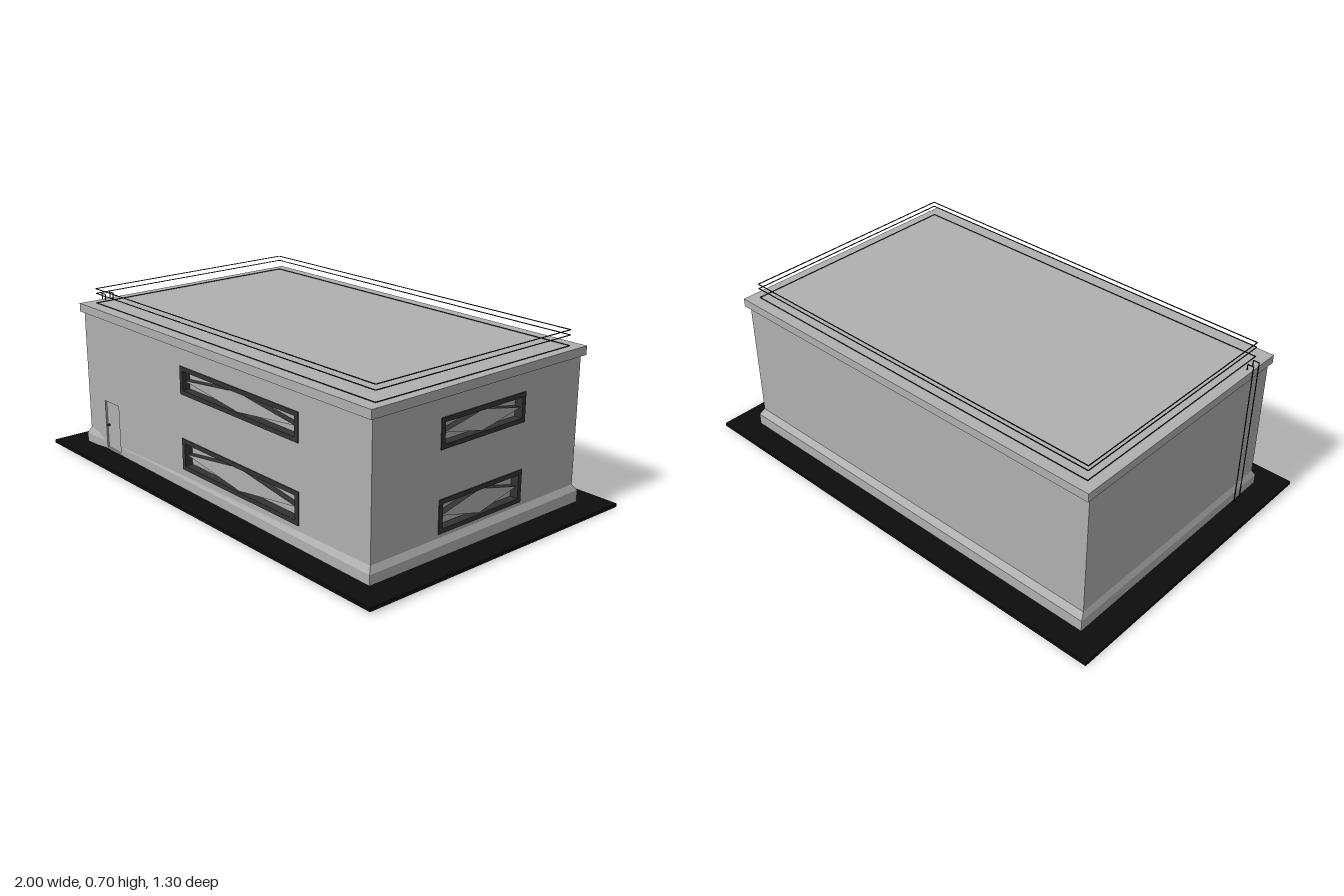
import * as THREE from 'three';

const mat = (name, color) => Object.assign(new THREE.MeshStandardMaterial({ color }), { name });

export function createModel() {
  const model = new THREE.Group();
  const concrete = mat('concrete grey', 0xb0b0b0);
  const dark = mat('dark frame', 0x333333);
  const black = mat('black', 0x0d0d0d);

  const add = (parent, name, geo, material) => {
    const m = new THREE.Mesh(geo, material);
    m.name = name;
    parent.add(m);
    return m;
  };
  // Box given by its two extreme corners
  const box = (parent, name, [x0, y0, z0], [x1, y1, z1], material) =>
    add(parent, name, new THREE.BoxGeometry(x1 - x0, y1 - y0, z1 - z0)
      .translate((x0 + x1) / 2, (y0 + y1) / 2, (z0 + z1) / 2), material);
  const poly = (pts, Type = THREE.Shape) => new Type(pts.map(p => new THREE.Vector2(...p)));
  const rect = (x0, y0, x1, y1, Type) => poly([[x0, y0], [x1, y0], [x1, y1], [x0, y1]], Type);
  const slab = (shape, z0, z1) =>
    new THREE.ExtrudeGeometry(shape, { depth: z1 - z0, bevelEnabled: false }).translate(0, 0, z0);

  // Window: frame ring, recessed pane and raised diamond; wall surface is z = 0
  function addWindow(parent, [x0, y0, x1, y1]) {
    const g = new THREE.Group();
    g.name = 'window';
    const t = 0.018, cx = (x0 + x1) / 2, cy = (y0 + y1) / 2;
    const ring = rect(x0, y0, x1, y1);
    ring.holes.push(rect(x0 + t, y0 + t, x1 - t, y1 - t, THREE.Path));
    add(g, 'windowFrame', slab(ring, -0.04, 0.004), dark);
    box(g, 'windowPane', [x0 + t, y0 + t, -0.038], [x1 - t, y1 - t, -0.03], concrete);
    const diamond = poly([[x0 + t, cy], [cx, y0 + t], [x1 - t, cy], [cx, y1 - t]]);
    add(g, 'diamondPanel', slab(diamond, -0.03, -0.004), [concrete, dark]);
    parent.add(g);
  }

  // Wall with openings, outer surface at local z = 0
  function addWall(name, x0, x1, windows, doors = []) {
    const g = new THREE.Group();
    g.name = name;
    const shape = rect(x0, 0.02, x1, 0.605);
    [...windows, ...doors].forEach(o => shape.holes.push(rect(...o, THREE.Path)));
    add(g, name + 'Surface', slab(shape, -0.05, 0), concrete);
    windows.forEach(w => addWindow(g, w));
    model.add(g);
    return g;
  }

  // Sloping ground slab
  const ground = add(model, 'ground', new THREE.BoxGeometry(2, 0.014, 1.295), black);
  ground.position.y = 0.0125;
  ground.rotation.x = -0.008;

  // Walls
  const front = addWall('frontWall', -0.885, 0.875,
    [[-0.19, 0.414, 0.51, 0.527], [-0.19, 0.104, 0.51, 0.233]],
    [[-0.76, 0.03, -0.655, 0.24]]);
  front.position.z = 0.53;
  const side = addWall('leftWall', -0.48, 0.525,
    [[-0.212, 0.415, 0.218, 0.53], [-0.212, 0.103, 0.218, 0.232]]);
  side.rotation.y = Math.PI / 2;
  side.position.x = 0.875;
  box(model, 'backWall', [-0.885, 0.02, -0.525], [0.825, 0.605, -0.475], concrete);
  box(model, 'rightWall', [-0.885, 0.02, -0.475], [-0.835, 0.605, 0.48], concrete);

  // Door, set back in its opening, with a small handle
  box(front, 'door', [-0.76, 0.03, -0.03], [-0.655, 0.24, -0.008], concrete);
  box(front, 'doorHandle', [-0.748, 0.13, -0.008], [-0.742, 0.138, 0.002], dark);

  // Roof slab
  box(model, 'roof', [-0.895, 0.603, -0.545], [0.885, 0.638, 0.545], concrete);

  // Plinth: chamfered section lofted round the walls, thinning out towards the door
  // Each station: inner x, z, outer x, z, shoulder height, top height
  const stations = [
    [-0.635, 0.529, -0.635, 0.531, 0.06, 0.065],
    [-0.24, 0.529, -0.24, 0.535, 0.063, 0.076],
    [0.875, 0.53, 0.888, 0.545, 0.063, 0.088],
    [0.875, -0.525, 0.888, -0.545, 0.063, 0.088],
    [-0.885, -0.525, -0.895, -0.545, 0.063, 0.088],
    [-0.885, 0.53, -0.895, 0.545, 0.063, 0.088],
    [-0.82, 0.53, -0.82, 0.54, 0.06, 0.08],
    [-0.78, 0.529, -0.78, 0.531, 0.05, 0.06],
  ];
  const verts = [], index = [];
  stations.forEach(([ix, iz, ox, oz, mid, top], s) => {
    verts.push(ox, 0.015, oz, ox, mid, oz, ix, top, iz);
    if (s === stations.length - 1) return;
    for (let k = 0; k < 2; k++) {
      const a = s * 3 + k, b = a + 3;
      index.push(a, b, b + 1, a, b + 1, a + 1);
    }
  });
  let plinth = new THREE.BufferGeometry();
  plinth.setAttribute('position', new THREE.Float32BufferAttribute(verts, 3));
  plinth.setIndex(index);
  plinth = plinth.toNonIndexed();
  plinth.computeVertexNormals();
  add(model, 'plinth', plinth, concrete);

  // Thin roof rails: one loop on the roof and two above it
  const r = 0.0015;
  for (const y of [0.639, 0.68, 0.7]) {
    for (const z of [-0.495, 0.49])
      box(model, 'roofRail', [-0.85, y - r, z - r], [0.845, y + r, z + r], black);
    for (const x of [-0.85, 0.845])
      box(model, 'roofRail', [x - r, y - r, -0.495], [x + r, y + r, 0.49], black);
  }

  // Ladder stiles hooked over the roof edge
  for (const z of [0.395, 0.432]) {
    box(model, 'ladderStile', [-0.902, 0.02, z - r], [-0.899, 0.663, z + r], black);
    box(model, 'ladderHook', [-0.902, 0.66, z - r], [-0.874, 0.663, z + r], black);
    box(model, 'ladderHookEnd', [-0.877, 0.637, z - r], [-0.874, 0.663, z + r], black);
  }
  return model;
}
